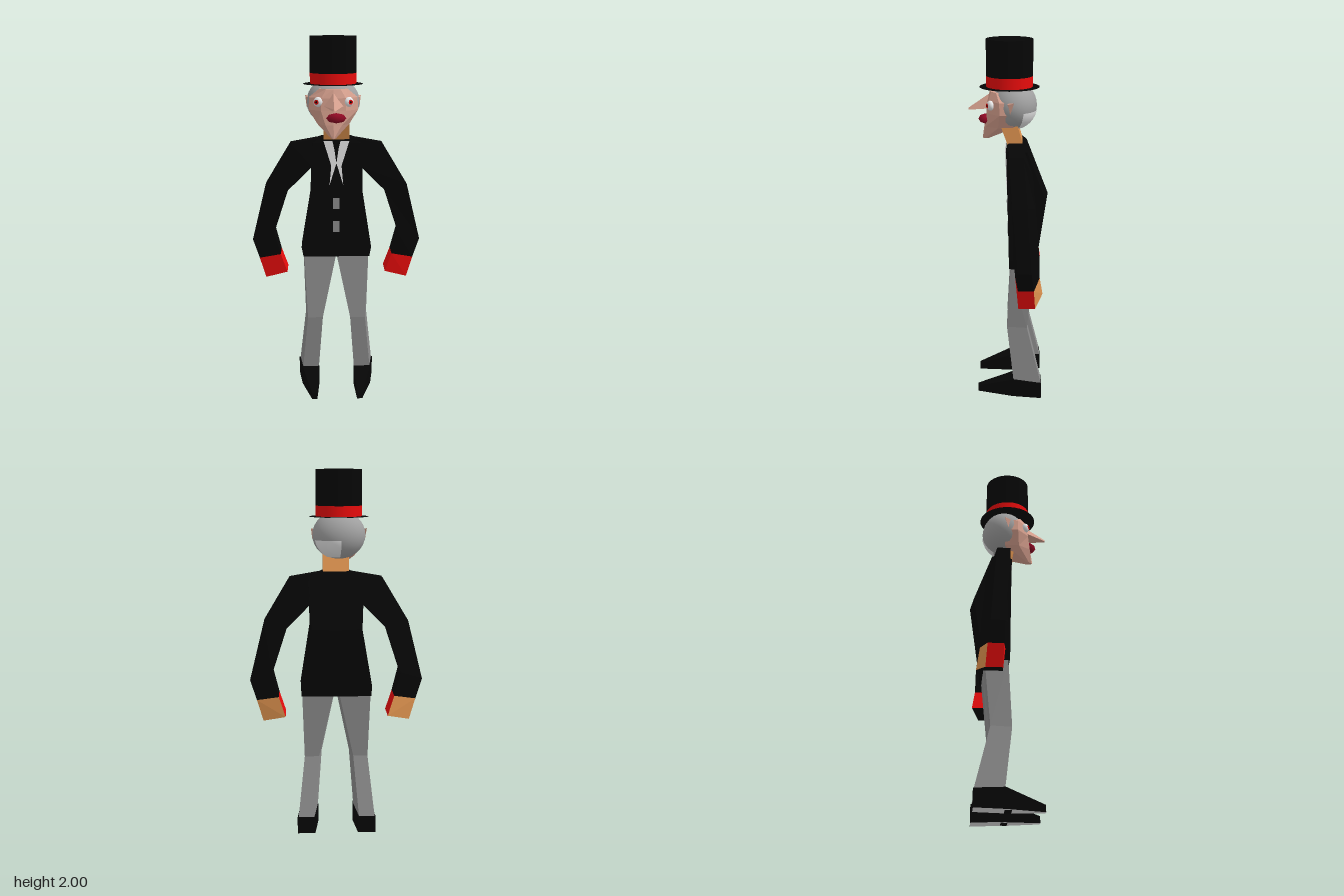
import * as THREE from 'three';

const mat = (name, color) => {
  const m = new THREE.MeshStandardMaterial({ color });
  m.name = name;
  return m;
};

export function createModel() {
  const black = mat('black cloth', 0x060606);
  const red = mat('red', 0xe80c0c);
  const skin = mat('tan skin', 0xe09450);
  const face = mat('pink face', 0xd6a08e);
  const grey = mat('grey trousers', 0x8c8c8c);
  const hair = mat('grey hair', 0xa0a0a0);
  const white = mat('white', 0xe8e8e8);
  const lips = mat('dark red lips', 0x900a24);

  const root = new THREE.Group();
  root.name = 'gentleman';
  // The whole figure is turned slightly to its right
  const body = new THREE.Group();
  body.name = 'figure';
  body.rotation.y = -0.15;
  body.position.z = -0.08;
  root.add(body);

  const add = (parent, name, geo, material, x = 0, y = 0, z = 0) => {
    const m = new THREE.Mesh(geo, material);
    m.name = name;
    m.position.set(x, y, z);
    parent.add(m);
    return m;
  };

  // Flat-faced closed skin over rings of [x, y, z]; side j of every ring is material group j, caps come last
  const loft = (rings, sx = 1) => {
    const n = rings[0].length, last = rings.length - 1, groups = [], tris = [];
    const start = (i) => groups.push([tris.length * 3, i]);
    for (let j = 0; j < n; j++) {
      start(j);
      const k = (j + 1) % n;
      for (let i = 0; i < last; i++) {
        const [a, b, c, d] = [rings[i][j], rings[i][k], rings[i + 1][k], rings[i + 1][j]];
        tris.push([a, b, c], [a, c, d]);
      }
    }
    start(n);
    for (let j = 1; j < n - 1; j++) {
      tris.push([rings[0][0], rings[0][j + 1], rings[0][j]]);
      tris.push([rings[last][0], rings[last][j], rings[last][j + 1]]);
    }
    const v = tris.map((t) => t.map((p) => new THREE.Vector3(p[0] * sx, p[1], p[2])));
    const o = v[0][0].clone();
    let volume = 0;
    for (const [a, b, c] of v) {
      volume += a.clone().sub(o).dot(b.clone().sub(o).cross(c.clone().sub(o)));
    }
    if (volume < 0) v.forEach((t) => t.reverse());
    const geo = new THREE.BufferGeometry().setFromPoints(v.flat());
    groups.forEach(([s, i], q) => {
      const end = q + 1 < groups.length ? groups[q + 1][0] : tris.length * 3;
      geo.addGroup(s, end - s, i);
    });
    geo.computeVertexNormals();
    return geo;
  };

  // Jacket: y, front half width, front z, back half width, back z, middle back z
  const jacket = [
    [0.79, 0.185, 0.083, 0.19, -0.06, -0.068],
    [0.845, 0.195, 0.085, 0.194, -0.064, -0.074],
    [1.17, 0.143, 0.093, 0.135, -0.11, -0.127],
    [1.435, 0.13, 0.1, 0.15, -0.012, -0.02],
    [1.465, 0.075, 0.088, 0.08, 0.002, 0],
  ].map(([y, xf, zf, xb, zb, zm]) => [
    [0, y, zf], [xf, y, zf], [xb, y, zb], [0, y, zm], [-xb, y, zb], [-xf, y, zf],
  ]);
  add(body, 'jacket', loft(jacket), black);

  // Shirt front and buttons, lying on the sloping chest
  const chest = new THREE.Group();
  chest.name = 'chestDetails';
  chest.position.set(0, 1.435, 0.103);
  chest.rotation.x = 0.026;
  body.add(chest);
  for (const s of [1, -1]) {
    const pts = [[0.07, 0.012], [0.022, 0.012], [0.012, -0.03], [0, -0.11], [0.038, -0.235], [0.028, -0.125]];
    const shape = new THREE.Shape(pts.map(([x, y]) => new THREE.Vector2(x * s, y)));
    add(chest, 'shirtFront', new THREE.ExtrudeGeometry(shape, { depth: 0.003, bevelEnabled: false }), white);
  }
  for (const y of [-0.337, -0.469]) {
    add(chest, 'button', new THREE.BoxGeometry(0.036, 0.063, 0.005), grey, 0, y, 0.001);
  }

  // Arm rings: outer and inner corners with their own front and back z
  const limb = (rows) => rows.map(([xo, yo, xi, yi, fo, bo, fi = fo, bi = bo]) => [
    [xo, yo, fo], [xo, yo, bo], [xi, yi, bi], [xi, yi, fi],
  ]);
  const cuff = [0.434, 0.77, 0.314, 0.795, 0.035, -0.047, 0.05, -0.08];
  const sleeve = limb([
    [0.075, 1.462, 0.08, 1.28, 0.085, 0],
    [0.25, 1.432, 0.135, 1.3, 0.084, 0.01, 0.084, -0.045],
    [0.39, 1.2, 0.268, 1.166, 0.065, -0.012, 0.065, -0.055],
    [0.47, 0.88, 0.347, 0.925, 0.038, -0.035, 0.06, -0.076],
    cuff,
  ]);
  const hand = limb([cuff, [0.4, 0.655, 0.278, 0.687, 0.033, -0.055, 0.04, -0.097]]);
  // Trouser rings: y, outer front x, outer back x, inner back x, inner front x, front z, back z
  const leg = [
    [0.83, 0.18, 0.183, 0.008, 0, 0.076, -0.05],
    [0.79, 0.18, 0.187, 0.018, 0.003, 0.076, -0.05],
    [0.43, 0.163, 0.176, 0.096, 0.078, 0.096, -0.016],
    [0.1, 0.195, 0.213, 0.125, 0.103, 0.058, -0.095],
  ].map(([y, of, ob, ib, jf, zf, zb]) => [[of, y, zf], [ob, y, zb], [ib, y, zb], [jf, y, zf]]);
  // Shoe from heel to toe: z, outer x, inner x, top y
  const shoe = [[-0.098, 0.219, 0.12, 0.1], [0.062, 0.199, 0.1, 0.112], [0.263, 0.142, 0.112, 0.04]]
    .map(([z, xo, xi, t]) => [[xo, 0.004, z], [xi, 0.004, z], [xi, t, z], [xo, t, z]]);

  for (const [s, side] of [[1, 'left'], [-1, 'right']]) {
    add(body, side + 'Sleeve', loft(sleeve, s), black);
    add(body, side + 'Hand', loft(hand, s), [red, skin, red, red, black]);
    add(body, side + 'Trouser', loft(leg, s), grey);
    add(body, side + 'Shoe', loft(shoe, s), [white, black, black, black, black]);
    add(body, side + 'SolePatch', new THREE.BoxGeometry(0.06, 0.004, 0.035), black, s * 0.145, 0.003, 0.075);
  }

  // Neck leaning forward
  add(body, 'neck', loft([[1.42, 0, 0.08], [1.56, 0.04, 0.13]].map(([y, zb, zf]) => [
    [0.07, y, zf], [0.07, y, zb], [-0.07, y, zb], [-0.07, y, zf],
  ])), skin);

  // Head
  const head = new THREE.Group();
  head.name = 'head';
  head.position.set(-0.017, 0, 0.083);
  body.add(head);
  // Hair cap with a pale patch at the nape
  const cap = new THREE.Group();
  cap.name = 'hairCap';
  cap.position.set(0, 1.655, -0.02);
  cap.scale.set(1, 0.9, 0.88);
  head.add(cap);
  add(cap, 'hair', new THREE.SphereGeometry(0.143, 24, 16), hair);
  add(cap, 'paleHair', new THREE.SphereGeometry(0.146, 16, 6, Math.PI * 1.14, Math.PI * 0.38, 1.75, 0.9), white);

  // Face: y, half width, back z, cheek z, front z
  const faceRings = [
    [1.475, 0.012, 0.115, 0.125, 0.145],
    [1.545, 0.085, -0.02, 0.06, 0.135],
    [1.62, 0.132, -0.03, 0.052, 0.123],
    [1.685, 0.128, -0.01, 0.052, 0.118],
    [1.73, 0.075, 0, 0.07, 0.105],
  ].map(([y, w, zb, zc, zf]) => [
    [-w, y, zb], [-w, y, zc], [-w * 0.5, y, zf - 0.008], [0, y, zf],
    [w * 0.5, y, zf - 0.008], [w, y, zc], [w, y, zb],
  ]);
  add(head, 'face', loft(faceRings), face);

  // Long pointed nose
  add(head, 'nose', loft([
    [[0, 1.72, 0.1], [0.054, 1.645, 0.108], [-0.054, 1.645, 0.108]],
    [[0, 1.638, 0.22], [0.005, 1.628, 0.22], [-0.005, 1.628, 0.22]],
  ]), face);

  const mouth = add(head, 'mouth', new THREE.OctahedronGeometry(1, 1), lips, 0.014, 1.583, 0.13);
  mouth.scale.set(0.053, 0.027, 0.036);

  for (const s of [1, -1]) {
    // Round staring eyes
    const eye = new THREE.Group();
    eye.name = 'eye';
    eye.position.set(s * 0.081, 1.665, 0.1);
    eye.rotation.y = s * 0.5;
    head.add(eye);
    add(eye, 'eyeball', new THREE.SphereGeometry(0.026, 16, 10), white).scale.z = 0.7;
    add(eye, 'iris', new THREE.CircleGeometry(0.013, 12), red, 0, 0, 0.0188);
    add(eye, 'pupil', new THREE.CircleGeometry(0.006, 8), black, 0, 0, 0.0196);
    // Wedge ears
    add(head, 'ear', loft([
      [[0.125, 1.685, 0.02], [0.125, 1.685, -0.02], [0.125, 1.615, 0.0]],
      [[0.142, 1.68, 0.005], [0.15, 1.69, -0.025], [0.142, 1.63, -0.005]],
    ], s), face);
  }

  // Top hat with a paper-thin brim
  const hat = new THREE.Group();
  hat.name = 'topHat';
  head.add(hat);
  for (const s of [1, -1]) {
    add(hat, 'brim', new THREE.CircleGeometry(0.16, 32), black, 0, 1.752, 0).rotation.x = -s * Math.PI / 2;
  }
  add(hat, 'band', new THREE.CylinderGeometry(0.124, 0.124, 0.056, 32), red, 0, 1.782, 0);
  add(hat, 'crown', new THREE.CylinderGeometry(0.124, 0.124, 0.19, 32), black, 0, 1.905, 0);

  return root;
}
